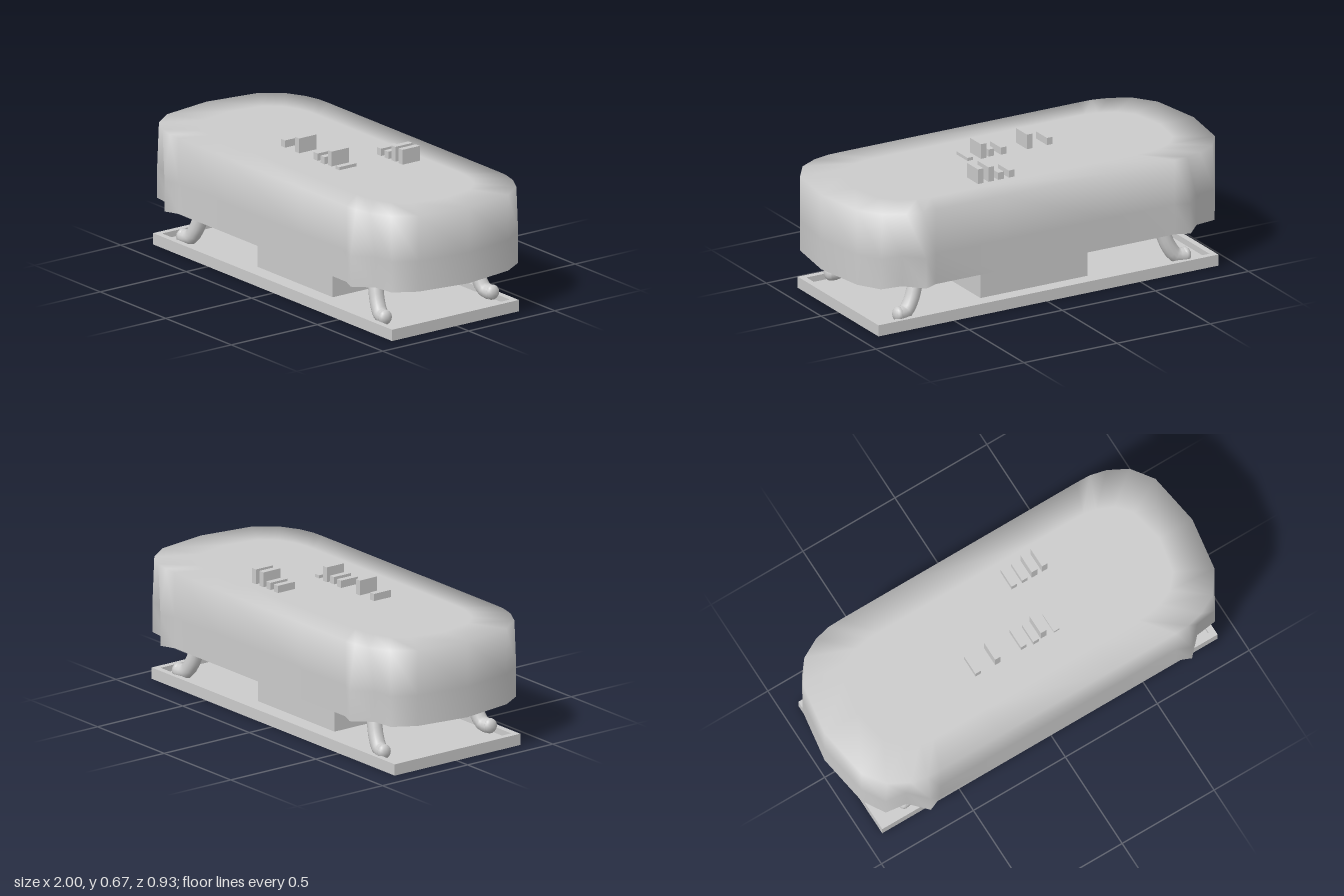
import * as THREE from 'three';
import { toCreasedNormals } from 'three/addons/utils/BufferGeometryUtils.js';

const grey = new THREE.MeshStandardMaterial({ color: 0xcccccc });
const greyDouble = new THREE.MeshStandardMaterial({ color: 0xcccccc, side: THREE.DoubleSide });

function add(parent, name, geometry, x = 0, y = 0, z = 0, material = grey) {
  const mesh = new THREE.Mesh(geometry, material);
  mesh.name = name;
  mesh.position.set(x, y, z);
  parent.add(mesh);
  return mesh;
}

// Box given by its lower and upper limits on each axis
function addBox(parent, name, [x0, x1], [y0, y1], [z0, z1]) {
  return add(parent, name, new THREE.BoxGeometry(x1 - x0, y1 - y0, z1 - z0),
    (x0 + x1) / 2, (y0 + y1) / 2, (z0 + z1) / 2);
}

// Mirror one quarter outline (from the +x axis towards +z) into a closed ring
function fullRing(quarter) {
  const half = [...quarter, ...quarter.slice().reverse().map(([x, z]) => [-x, z])];
  const other = half.slice(1, -1).reverse().map(([x, z]) => [x, -z]);
  return [...half, ...other];
}

// Skin through stacked rings [quarter outline, height], closed by a flat top
function shellGeometry(levels) {
  const positions = [];
  let count = 0;
  for (const [quarter, y] of levels) {
    const ring = fullRing(quarter);
    count = ring.length;
    for (const [x, z] of ring) positions.push(x, y, z);
  }
  positions.push(0, levels.at(-1)[1], 0);
  const index = [];
  const centre = levels.length * count;
  const last = centre - count;
  for (let i = 0; i < count; i++) {
    const j = (i + 1) % count;
    for (let r = 0; r < levels.length - 1; r++) {
      const a = r * count + i, b = r * count + j, c = b + count, d = a + count;
      index.push(a, d, c, a, c, b);
    }
    index.push(last + i, centre, last + j);
  }
  const geometry = new THREE.BufferGeometry();
  geometry.setAttribute('position', new THREE.Float32BufferAttribute(positions, 3));
  geometry.setIndex(index);
  geometry.computeVertexNormals();
  return geometry;
}

// Outlines of the hood: pointed lower corners, plain upper rim, flat top
const low = [[1, 0], [0.96, 0.26], [0.895, 0.368], [0.79, 0.382], [0.71, 0.466], [0.64, 0.437], [0.3, 0.437]];
const rim = [[1, 0], [0.96, 0.26], [0.885, 0.365], [0.79, 0.416], [0.71, 0.435], [0.64, 0.437], [0.3, 0.437]];
const flat = rim.map(([x, z], i) => [i < 6 ? x * 0.82 : x, z * 0.66]);
const inset = (ring) => ring.map(([x, z]) => [x * 0.99, z * 0.985]);

function rectangle(Type, w, d) {
  return new Type([[-w, -d], [w, -d], [w, d], [-w, d]].map(([x, y]) => new THREE.Vector2(x / 2, y / 2)));
}

// Flat rectangular frame lying in the xz plane
function frameGeometry(w, d, border, height) {
  const shape = rectangle(THREE.Shape, w, d);
  shape.holes.push(rectangle(THREE.Path, w - 2 * border, d - 2 * border));
  return new THREE.ExtrudeGeometry(shape, { depth: height, bevelEnabled: false }).rotateX(-Math.PI / 2);
}

export function createModel() {
  const model = new THREE.Group();
  model.name = 'model';

  // Hood with a smooth outside and a thin lining with a flat ceiling
  add(model, 'hood', shellGeometry([[low, 0.232], [low, 0.38], [rim, 0.6], [flat, 0.6]]), 0, 0, 0, greyDouble);
  const lining = shellGeometry([[inset(low), 0.232], [inset(low), 0.38], [inset(rim), 0.592]]);
  add(model, 'hoodLining', toCreasedNormals(lining, 0.7), 0, 0, 0, greyDouble);

  // Base tray: raised rim, thin recessed floor, hatch outline and screws beneath
  const base = new THREE.Group();
  base.name = 'base';
  base.position.set(-0.006, 0, 0.005);
  model.add(base);
  add(base, 'baseRim', frameGeometry(1.824, 0.738, 0.03, 0.055));
  addBox(base, 'baseFloor', [-0.885, 0.885], [0.018, 0.026], [-0.342, 0.342]);
  add(base, 'hatchOutline', frameGeometry(0.58, 0.47, 0.006, 0.004), 0, 0.015, 0);
  for (const sx of [-1, 1]) for (const sz of [-1, 1]) {
    add(base, 'screw', new THREE.CylinderGeometry(0.014, 0.014, 0.008, 10), sx * 0.83, 0.015, sz * 0.29);
  }

  addBox(model, 'pedestal', [-0.295, 0.28], [0.022, 0.592], [-0.23, 0.242]);

  // Legs bend out of the pedestal and rest on the floor with small upturned feet
  for (const sx of [-1, 1]) for (const sz of [-1, 1]) {
    const path = [[0.25, 0.33, 0.19], [0.45, 0.34, 0.225], [0.59, 0.3, 0.262], [0.65, 0.22, 0.28],
      [0.69, 0.12, 0.295], [0.725, 0.072, 0.303], [0.77, 0.066, 0.312]]
      .map(([x, y, z]) => new THREE.Vector3(sx * x, y, sz * z));
    const curve = new THREE.CatmullRomCurve3(path);
    add(model, 'leg', new THREE.TubeGeometry(curve, 28, 0.036, 12));
    const foot = add(model, 'foot', new THREE.SphereGeometry(0.036, 12, 8), sx * 0.77, 0.068, sz * 0.312);
    foot.scale.set(0.72, 1, 1);
    // Blocks hanging under the hood
    addBox(model, 'underBlock', sx > 0 ? [0.34, 0.612] : [-0.628, -0.357], [0.18, 0.37],
      sz > 0 ? [0.13, 0.238] : [-0.228, -0.118]);
  }

  // Rows of small bars on top: [x, top height, shift in z]
  const rows = [
    { z: [0.03, 0.13], bars: [[-0.245, 0.635, 0], [-0.138, 0.672, 0], [0.003, 0.635, 0],
      [0.065, 0.635, 0.007], [0.11, 0.672, 0], [0.177, 0.615, 0.007]] },
    { z: [-0.247, -0.147], bars: [[0.123, 0.635, 0], [0.18, 0.635, 0], [0.232, 0.672, 0], [0.288, 0.672, 0]] },
  ];
  for (const { z, bars } of rows) {
    for (const [x, top, shift] of bars) {
      addBox(model, 'topBar', [x - 0.015, x + 0.015], [0.59, top], z.map((v) => v + shift));
    }
  }
  return model;
}
